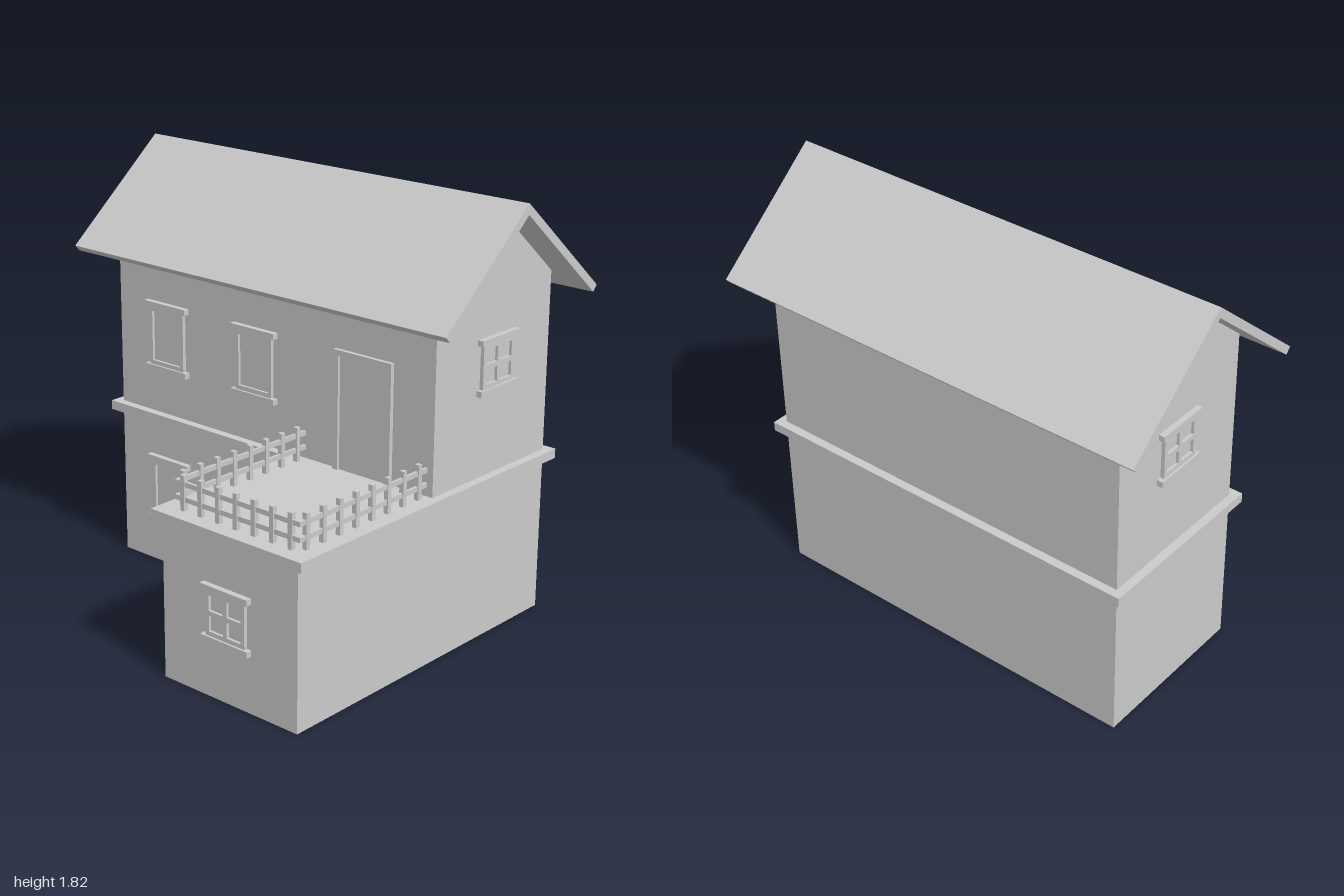
import * as THREE from 'three';

const material = new THREE.MeshStandardMaterial({ color: 0xcccccc, flatShading: true });
const polygon = (points) => new THREE.Shape(points.map(([x, y]) => new THREE.Vector2(x, y)));
const rect = (x0, x1, y0, y1) => polygon([[x0, y0], [x1, y0], [x1, y1], [x0, y1]]);
const extrude = (shape, depth) => new THREE.ExtrudeGeometry(shape, { depth, bevelEnabled: false });

function add(parent, name, geometry) {
  const mesh = new THREE.Mesh(geometry, material);
  mesh.name = name;
  parent.add(mesh);
  return mesh;
}

// Box given by its extents on each axis
function addBox(parent, name, x0, x1, y0, y1, z0, z1) {
  const mesh = add(parent, name, new THREE.BoxGeometry(x1 - x0, y1 - y0, z1 - z0));
  mesh.position.set((x0 + x1) / 2, (y0 + y1) / 2, (z0 + z1) / 2);
  return mesh;
}

// Plan outline in x and z, raised from y0 to y1
function addPlan(parent, name, points, y0, y1) {
  return add(parent, name, extrude(polygon(points), y1 - y0).rotateX(Math.PI / 2).translate(0, y1, 0));
}

// Section in z and y, running from x0 to x1
function addSection(parent, name, points, x0, x1) {
  return add(parent, name, extrude(polygon(points), x1 - x0).rotateY(-Math.PI / 2).translate(x1, 0, 0));
}

// Window on a wall facing +z, centred on its origin; panes is 1 or 2 per side
function makeWindow(name, height, panes) {
  const group = new THREE.Group();
  group.name = name;
  const w = 0.1, h = height / 2, band = 0.025;
  const frame = rect(-w, w, -h + band, h - band);
  const border = 0.018, bar = 0.02;
  const paneW = (2 * (w - border) - bar * (panes - 1)) / panes;
  const paneH = (2 * (h - band - border) - bar * (panes - 1)) / panes;
  for (let i = 0; i < panes; i++) {
    for (let j = 0; j < panes; j++) {
      const x = -w + border + i * (paneW + bar);
      const y = -h + band + border + j * (paneH + bar);
      frame.holes.push(rect(x, x + paneW, y, y + paneH));
    }
  }
  add(group, 'windowFrame', extrude(frame, 0.016));
  addBox(group, 'glass', -w + 0.005, w - 0.005, -h + band, h - band, -0.005, 0.004);
  addBox(group, 'lintel', -0.12, 0.12, h - band, h, -0.002, 0.025);
  addBox(group, 'sill', -0.12, 0.12, -h, -h + band, -0.002, 0.025);
  return group;
}

// Door on a wall facing +z, standing on its origin
function makeDoor(name) {
  const group = new THREE.Group();
  group.name = name;
  const frame = polygon([[-0.145, 0], [-0.12, 0], [-0.12, 0.475], [0.12, 0.475],
    [0.12, 0], [0.145, 0], [0.145, 0.5], [-0.145, 0.5]]);
  add(group, 'doorFrame', extrude(frame, 0.018));
  addBox(group, 'doorPanel', -0.12, 0.12, 0, 0.475, -0.005, 0.006);
  return group;
}

export function createModel() {
  const house = new THREE.Group();
  house.name = 'house';
  const left = -0.85, right = 0.866, front = 0.035, back = -0.7;
  const wingX = 0.18, wingZ = 0.81, ridgeZ = -0.335, deck = 0.703;

  // L-shaped ground floor and the projecting slab above it
  const plan = (o) => [[left - o, back - o], [right + o, back - o], [right + o, wingZ + o * 0.7],
    [wingX - o, wingZ + o * 0.7], [wingX - o, front + o], [left - o, front + o]];
  addPlan(house, 'groundFloor', plan(0), 0, 0.665);
  addPlan(house, 'floorSlab', plan(0.037), 0.662, deck);

  // Gabled upper floor
  addSection(house, 'upperFloor', [[back, deck - 0.01], [front, deck - 0.01], [front, 1.46],
    [ridgeZ, 1.772], [back, 1.46]], left, right);

  // Pitched roof with overhanging eaves
  const eave = 0.491, lip = 0.468;
  addSection(house, 'roof', [[ridgeZ, 1.815], [ridgeZ - eave, 1.4], [ridgeZ - lip, 1.375],
    [ridgeZ, 1.77], [ridgeZ + lip, 1.375], [ridgeZ + eave, 1.4]], -1, 1);

  const place = (part, x, y, z, turn = 0) => {
    part.position.set(x, y, z);
    part.rotation.y = turn;
    house.add(part);
  };

  // Single-pane windows on both floors
  for (const x of [-0.56, -0.057]) {
    for (const y of [0.348, 1.047]) place(makeWindow('frontWindow', 0.305, 1), x, y, front);
  }

  // Four-pane windows on the wing and both gables
  place(makeWindow('wingWindow', 0.235, 2), 0.517, 0.357, wingZ);
  place(makeWindow('leftGableWindow', 0.23, 2), right, 1.162, -0.345, Math.PI / 2);
  place(makeWindow('rightGableWindow', 0.23, 2), left, 1.162, -0.345, -Math.PI / 2);

  // Balcony door and entrance door in the side of the wing
  place(makeDoor('balconyDoor'), 0.52, deck, front);
  place(makeDoor('entranceDoor'), wingX, 0.02, 0.42, -Math.PI / 2);

  // Balcony fence on three sides
  const fence = new THREE.Group();
  fence.name = 'balconyFence';
  house.add(fence);
  const fx0 = 0.213, fx1 = 0.833, fz = 0.763, r = 0.006, p = 0.01;
  const post = (x, z) => addBox(fence, 'fencePost', x - p, x + p, deck - 0.002, 0.847, z - p, z + p);
  for (const x of [fx0, fx1]) {
    for (let i = 0; i < 8; i++) post(x, 0.084 + i * 0.092);
  }
  for (let i = 0; i < 7; i++) post(0.25 + i * 0.0905, fz);
  for (const y of [0.75, 0.811]) {
    for (const x of [fx0, fx1]) addBox(fence, 'sideRail', x - r, x + r, y - 0.01, y + 0.01, front - 0.005, fz + r);
    addBox(fence, 'frontRail', fx0 - r, fx1 + r, y - 0.01, y + 0.01, fz - r, fz + r);
  }
  return house;
}
